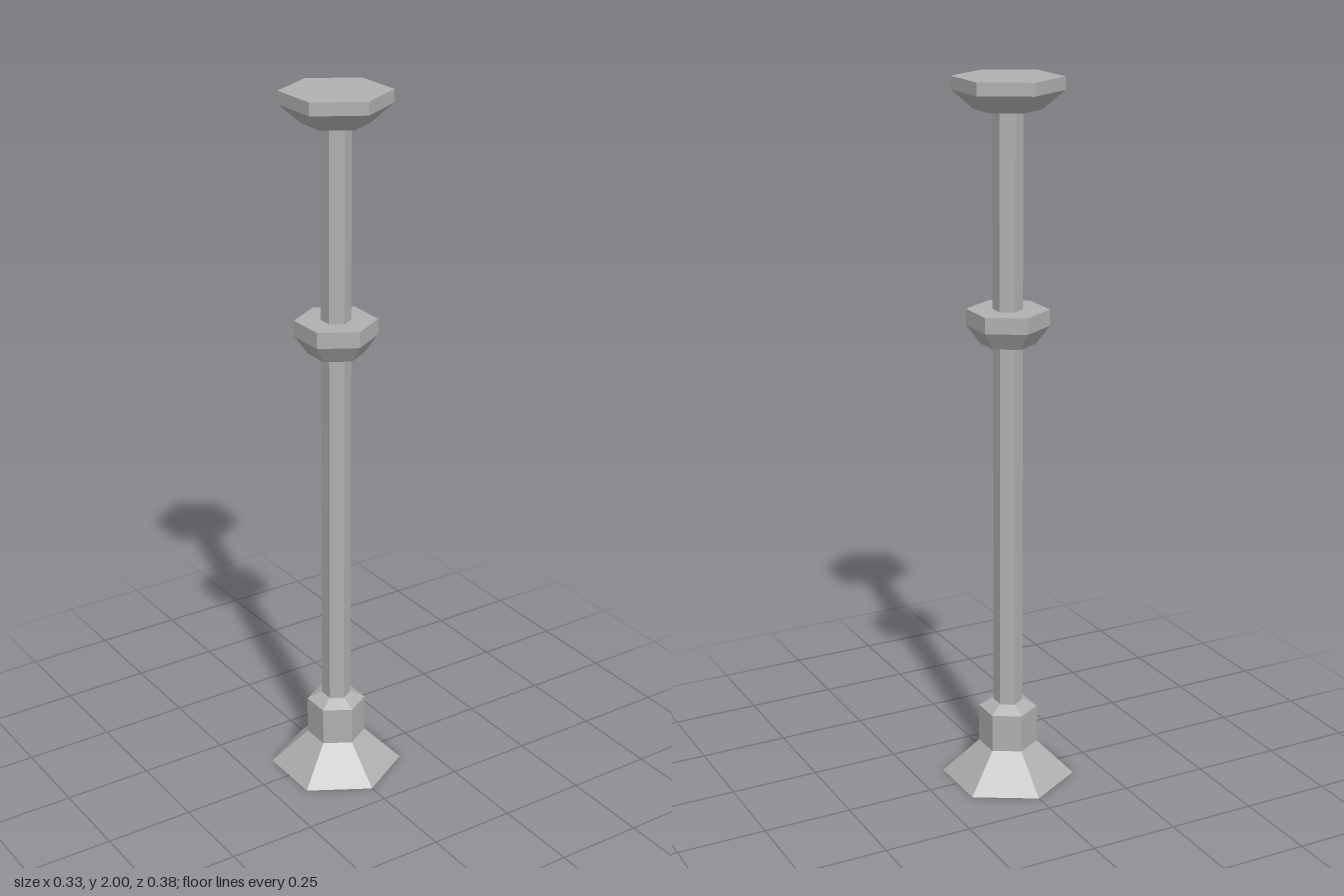
import * as THREE from 'three';

export function createModel() {
  const group = new THREE.Group();
  group.name = 'hexagonalPost';
  const grey = new THREE.MeshStandardMaterial({ color: 0xb0b0b0, flatShading: true });
  grey.name = 'stoneGrey';

  // Six-sided turned part from [radius, height] pairs, bottom to top, corners at +z and -z
  const addPart = (name, profile) => {
    const points = profile.map(([r, y]) => new THREE.Vector2(r, y));
    // close both ends on the axis
    points.unshift(new THREE.Vector2(0, profile[0][1]));
    points.push(new THREE.Vector2(0, profile[profile.length - 1][1]));
    const mesh = new THREE.Mesh(new THREE.LatheGeometry(points, 6), grey);
    mesh.name = name;
    group.add(mesh);
  };

  // Flared foot with a straight socket and chamfered rim
  addPart('base', [[0.188, 0], [0.083, 0.1], [0.083, 0.21], [0.046, 0.23]]);
  // Slim shaft
  addPart('shaft', [[0.041, 0.22], [0.041, 1.92]]);
  // Collar part way up
  addPart('collar', [[0.076, 1.285], [0.113, 1.335], [0.113, 1.38]]);
  // Wide flat cap
  addPart('cap', [[0.09, 1.915], [0.149, 1.965], [0.149, 2]]);

  return group;
}
